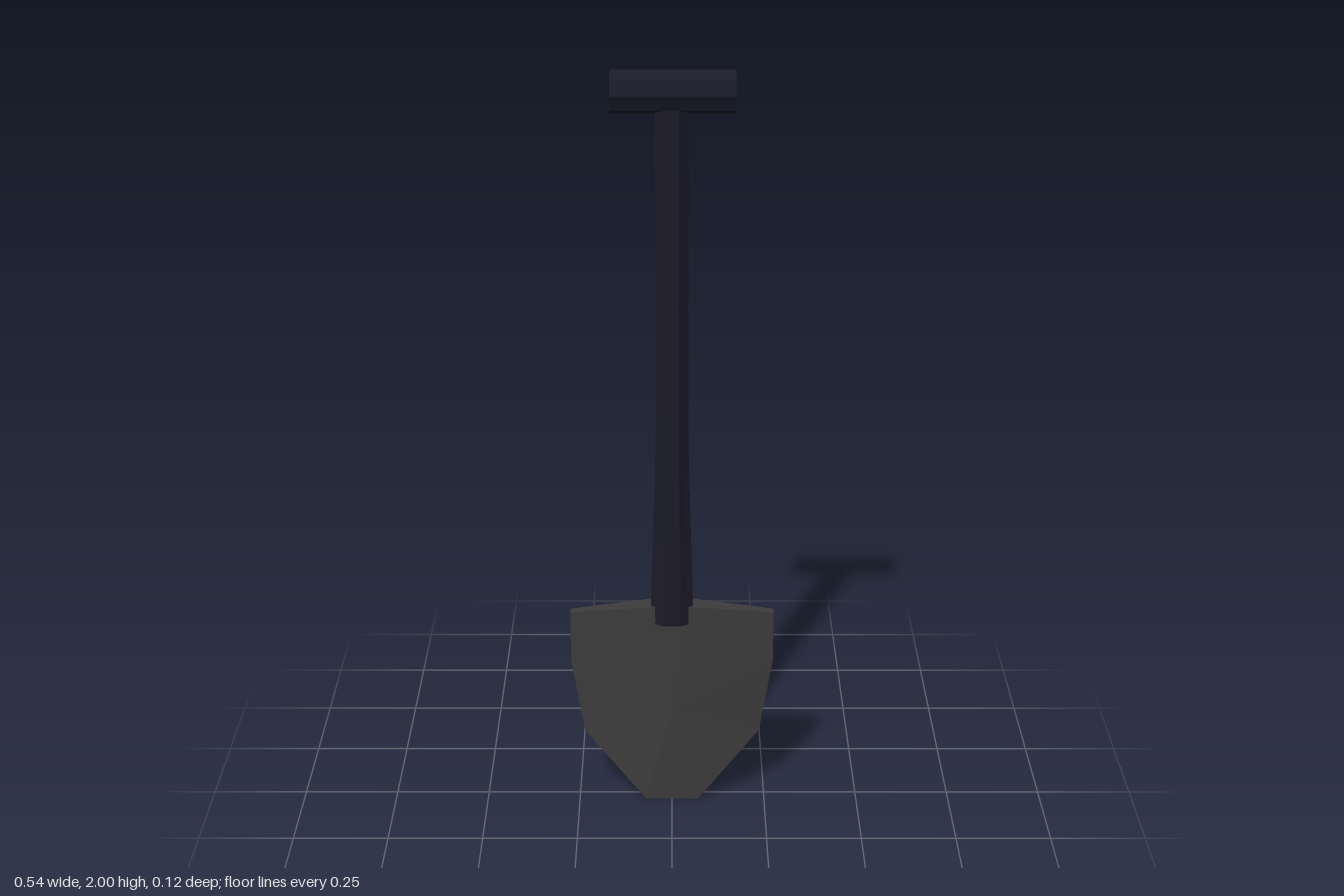
import * as THREE from 'three';

const dark = new THREE.MeshStandardMaterial({ color: 0x1b1a29, flatShading: true });
const steel = new THREE.MeshStandardMaterial({ color: 0x3c3c3c, flatShading: true });

function addMesh(group, name, geometry, material) {
  const mesh = new THREE.Mesh(geometry, material);
  mesh.name = name;
  group.add(mesh);
  return mesh;
}

// Dished slab: a front fan, a back fan and a rim between the two outlines
function bladeGeometry() {
  // right half of the outline, top to tip: x, y, front z, back z
  const half = [
    [0.05, 0.57, 0.03, -0.025],
    [0.27, 0.54, 0, -0.025],
    [0.27, 0.4, 0, -0.06],
    [0.235, 0.19, 0, -0.06],
    [0.07, 0, 0.037, 0.02],
  ];
  const mirrored = half.map(([x, y, f, b]) => [-x, y, f, b]).reverse();
  const outline = [...half, ...mirrored]; // clockwise seen from the front
  const frontCentre = [0, 0.27, 0.038];
  const backCentre = [0, 0.25, -0.02];
  const positions = [];
  const tri = (a, b, c) => positions.push(...a, ...b, ...c);
  outline.forEach(([x, y, f, b], i) => {
    const [x2, y2, f2, b2] = outline[(i + 1) % outline.length];
    const front = [x, y, f], back = [x, y, b];
    const nextFront = [x2, y2, f2], nextBack = [x2, y2, b2];
    tri(frontCentre, nextFront, front);
    tri(backCentre, back, nextBack);
    tri(front, nextFront, nextBack);
    tri(front, nextBack, back);
  });
  const geometry = new THREE.BufferGeometry();
  geometry.setAttribute('position', new THREE.Float32BufferAttribute(positions, 3));
  geometry.computeVertexNormals();
  return geometry;
}

// Octagonal shaft, flaring towards the blade
function shaftGeometry() {
  // y, half width, front z, back z
  const rings = [
    [1.91, 0.041, 0.042, -0.041],
    [1.73, 0.042, 0.043, -0.042],
    [1.4, 0.041, 0.043, -0.042],
    [1.0, 0.043, 0.043, -0.04],
    [0.75, 0.05, 0.044, -0.036],
    [0.52, 0.057, 0.045, -0.032],
  ];
  const steps = rings.length - 1;
  const geometry = new THREE.CylinderGeometry(1, 1, steps, 8, steps);
  geometry.rotateY(Math.PI / 8);
  const apothem = Math.cos(Math.PI / 8);
  const p = geometry.attributes.position;
  for (let i = 0; i < p.count; i++) {
    const [y, w, f, b] = rings[Math.round(steps / 2 - p.getY(i))];
    const z = (f + b) / 2 + (p.getZ(i) / apothem) * (f - b) / 2;
    p.setXYZ(i, (p.getX(i) / apothem) * w, y, z);
  }
  geometry.computeVertexNormals();
  return geometry;
}

export function createModel() {
  const shovel = new THREE.Group();
  shovel.name = 'shovel';

  addMesh(shovel, 'blade', bladeGeometry(), steel);
  addMesh(shovel, 'shaft', shaftGeometry(), dark);

  // Crossbar grip with a corner pointing up
  const grip = addMesh(shovel, 'grip', new THREE.CylinderGeometry(0.055, 0.055, 0.31, 8), dark);
  grip.rotation.z = Math.PI / 2;
  grip.position.set(0.002, 1.945, 0.003);

  return shovel;
}
